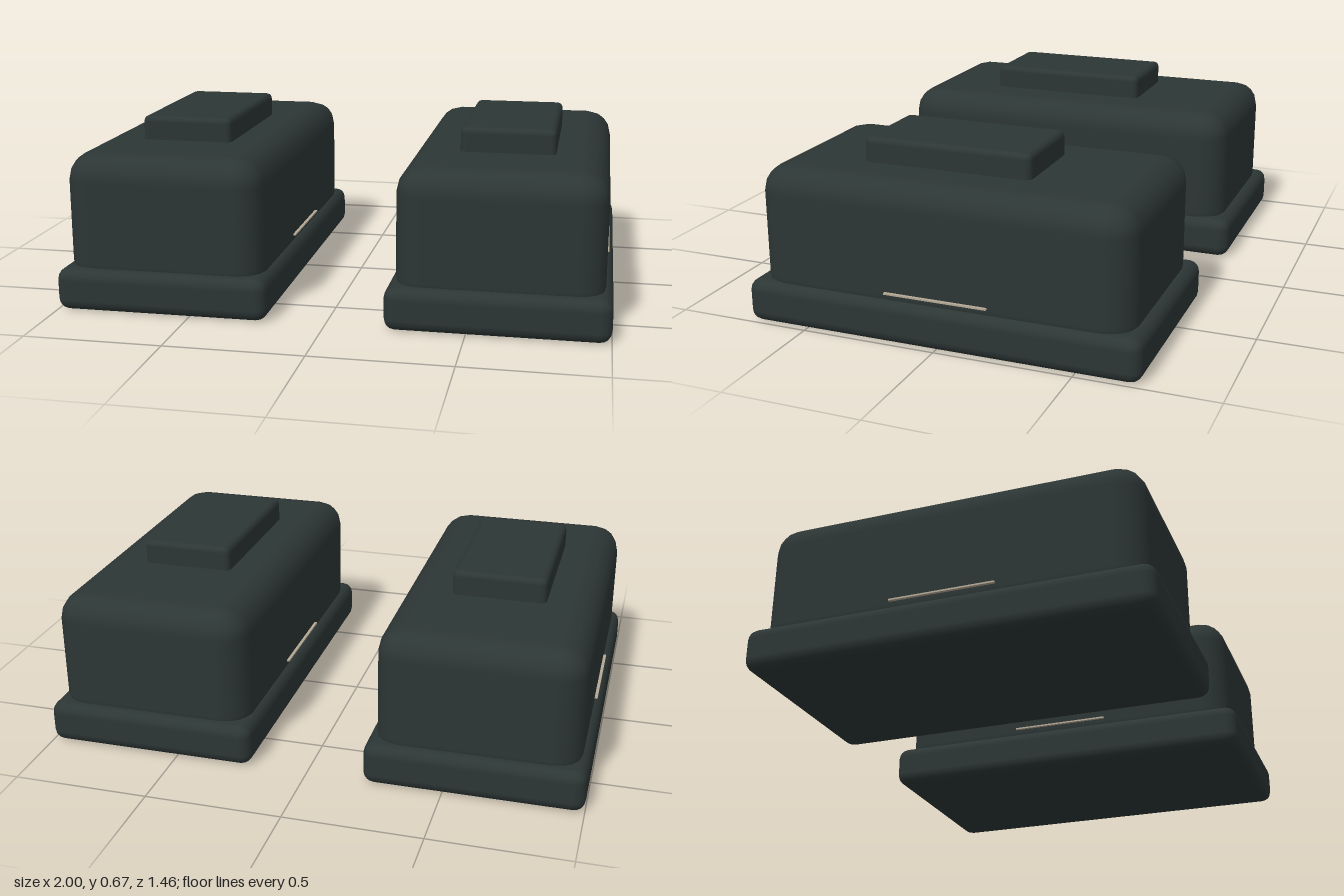
import * as THREE from 'three';
import { RoundedBoxGeometry } from 'three/addons/geometries/RoundedBoxGeometry.js';

const charcoal = new THREE.MeshStandardMaterial({ color: 0x2c3635 });
charcoal.name = 'charcoal';
const beige = new THREE.MeshStandardMaterial({ color: 0xb5a995 });
beige.name = 'beige';

// Rounded block given by its limits on each axis
function block(name, [x0, x1], [y0, y1], [z0, z1], radius, segments) {
  const geometry = new RoundedBoxGeometry(x1 - x0, y1 - y0, z1 - z0, segments, radius);
  const mesh = new THREE.Mesh(geometry, charcoal);
  mesh.name = name;
  mesh.position.set((x0 + x1) / 2, (y0 + y1) / 2, (z0 + z1) / 2);
  return mesh;
}

function createShoe(name, side) {
  const shoe = new THREE.Group();
  shoe.name = name;
  const centre = 0.605;
  const span = (half) => [-half, half];

  shoe.add(
    block('sole', span(0.395), [0, 0.157], [-0.728, 0.728], 0.042, 2),
    // The lower rounding of the upper is sunk into the sole
    block('upper', span(0.368), [0.07, 0.575], [-0.688, 0.688], 0.1, 2),
    block('tongue', span(0.173), [0.5, 0.665], [-0.27, 0.355], 0.022, 2)
  );

  // Thin welt strip along both flanks, just above the sole
  for (const s of [-1, 1]) {
    const strip = new THREE.Mesh(new THREE.BoxGeometry(0.03, 0.006, 0.38), beige);
    strip.name = s * side > 0 ? 'outerStrip' : 'innerStrip';
    strip.position.set(s * 0.364, 0.18, 0);
    shoe.add(strip);
  }

  shoe.position.x = side * centre;
  return shoe;
}

export function createModel() {
  const model = new THREE.Group();
  model.name = 'pairOfShoes';
  model.add(createShoe('leftShoe', 1), createShoe('rightShoe', -1));
  return model;
}
